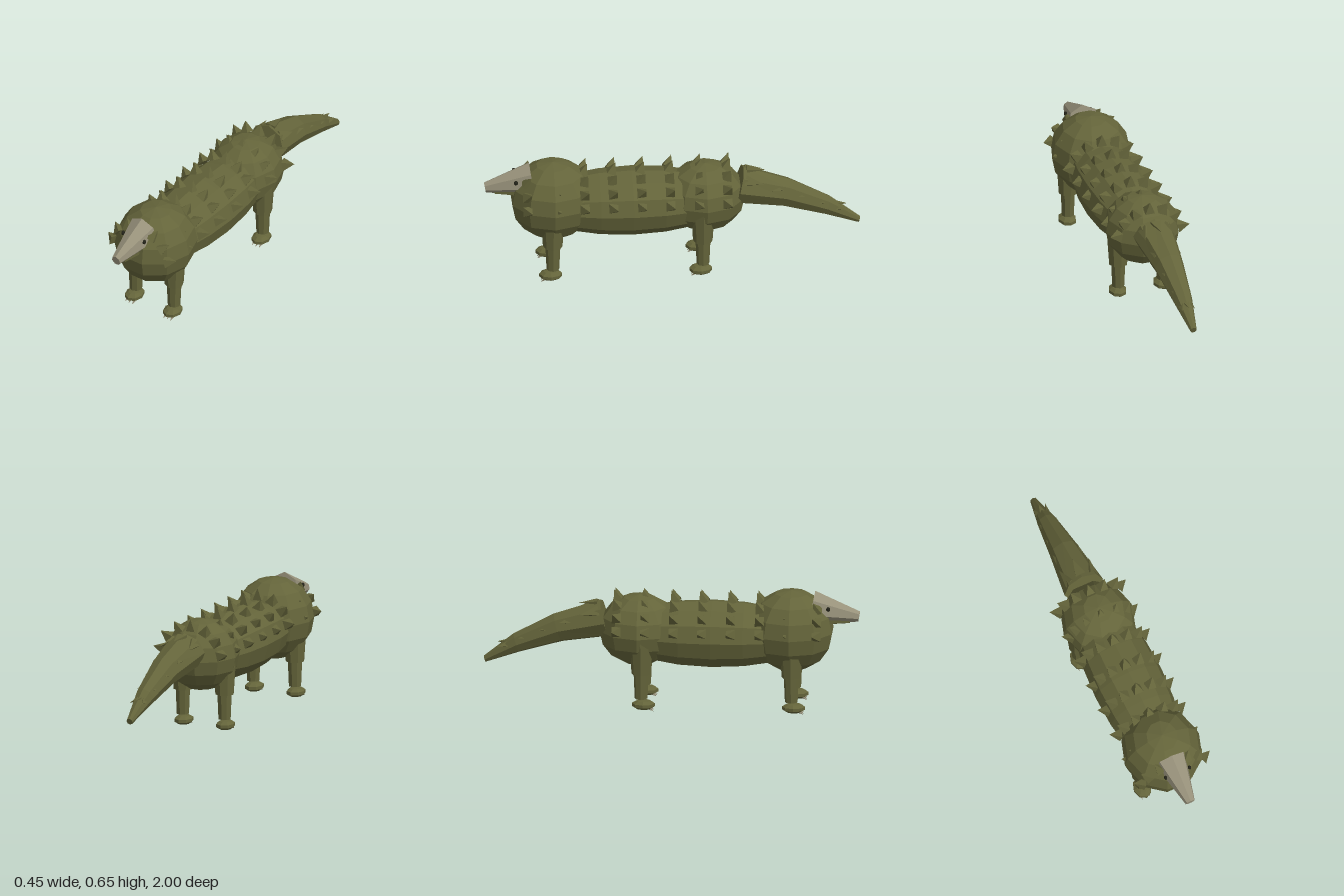
import * as THREE from 'three';

export function createModel() {
  const model = new THREE.Group();
  model.name = 'armouredReptile';
  const mat = (name, color) => {
    const m = new THREE.MeshStandardMaterial({ color, flatShading: true });
    m.name = name;
    return m;
  };
  const olive = mat('olive hide', 0x64643a);
  const bone = mat('pale bone', 0x97917a);
  const dark = mat('dark eye', 0x24241a);

  const add = (name, geo, material, x = 0, y = 0, z = 0, parent = model) => {
    const mesh = new THREE.Mesh(geo, material);
    mesh.name = name;
    mesh.position.set(x, y, z);
    parent.add(mesh);
    return mesh;
  };

  // Closed skin through elliptical rings listed from back to front: [z, y, rx, ry, lean]
  const loft = (rings, sides) => {
    const pos = [], idx = [];
    for (const [z, y, rx, ry, lean = 0] of rings) {
      for (let j = 0; j < sides; j++) {
        const t = (j / sides) * Math.PI * 2;
        pos.push(rx * Math.sin(t), y + ry * Math.cos(t), z + lean * ry * Math.cos(t));
      }
    }
    const last = (rings.length - 1) * sides;
    for (let j = 0; j < sides; j++) {
      const k = (j + 1) % sides;
      for (let r = 0; r < last; r += sides) {
        const a = r + j, b = r + k, c = a + sides, d = b + sides;
        idx.push(a, c, b, b, c, d);
      }
      if (j > 0 && j < sides - 1) idx.push(0, j, k, last, last + k, last + j);
    }
    const geo = new THREE.BufferGeometry();
    geo.setAttribute('position', new THREE.Float32BufferAttribute(pos, 3));
    geo.setIndex(idx);
    geo.computeVertexNormals();
    return geo;
  };

  // Shoulders, belly and hips
  add('shoulders', new THREE.SphereGeometry(1, 10, 8).scale(0.216, 0.221, 0.23), olive, 0, 0.432, 0.63);
  add('hips', new THREE.SphereGeometry(1, 10, 8).scale(0.2, 0.193, 0.215), olive, 0, 0.417, -0.18);
  add('belly', new THREE.SphereGeometry(1, 12, 10).rotateX(Math.PI / 2).scale(0.193, 0.181, 0.56),
    olive, 0, 0.401, 0.21);

  // Head: tapered seven-sided snout, jaw and eyes
  add('snout', loft([[0.74, 0.56, 0.088, 0.092, 0.18], [0.99, 0.514, 0.027, 0.028, 0.18]], 7), bone);
  add('jaw', loft([[0.72, 0.495, 0.075, 0.033], [0.94, 0.494, 0.026, 0.018]], 6), olive);
  for (const s of [-1, 1]) {
    add('eye', new THREE.SphereGeometry(1, 6, 5).scale(0.009, 0.013, 0.012), dark, s * 0.07, 0.572, 0.83);
  }

  // Tail
  add('tail', loft([
    [-1, 0.23, 0.018, 0.017, -0.3],
    [-0.83, 0.325, 0.052, 0.05, -0.35],
    [-0.61, 0.415, 0.08, 0.076, -0.3],
    [-0.36, 0.475, 0.112, 0.1, -0.25],
  ], 8), olive);

  // Rows of four-sided spikes arching over the back
  const spikeGeo = new THREE.ConeGeometry(0.037, 0.062, 4).rotateY(Math.PI / 4).rotateX(-0.35);
  const spikes = new THREE.Group();
  spikes.name = 'backSpikes';
  model.add(spikes);
  for (let row = 0; row < 8; row++) {
    for (let i = -3; i <= 3; i++) {
      if (row === 0 && i === 0) continue;
      const a = i * 0.445;
      const z = 0.763 - row * 0.152;
      const spike = add('backSpike', spikeGeo, olive,
        0.2 * Math.sin(a), 0.412 + 0.193 * Math.cos(a), z, spikes);
      spike.rotation.z = -a;
    }
  }

  // Flattened scales lying along the tail
  const scaleGeo = new THREE.ConeGeometry(0.04, 0.1, 4).rotateY(Math.PI / 4).scale(1, 1, 0.3).rotateX(-1.35);
  const tailScales = new THREE.Group();
  tailScales.name = 'tailScales';
  model.add(tailScales);
  for (let row = 0; row < 5; row++) {
    const t = row / 4;
    const ring = new THREE.Group();
    ring.name = 'tailScaleRow';
    ring.position.set(0, 0.465 - 0.17 * t, -0.42 - 0.47 * t);
    ring.rotation.x = -0.32;
    tailScales.add(ring);
    const r = 0.099 - 0.06 * t;
    for (let i = -1; i <= 1; i++) {
      const a = i * 0.9;
      const scale = add('tailScale', scaleGeo, olive, r * Math.sin(a), r * Math.cos(a), 0, ring);
      scale.rotation.z = -a;
      scale.scale.setScalar(1 - 0.35 * t);
    }
  }

  // Legs, feet and claws
  for (const [name, z] of [['frontLeg', 0.638], ['backLeg', -0.16]]) {
    for (const s of [-1, 1]) {
      const leg = new THREE.Group();
      leg.name = name;
      leg.position.set(s * 0.125, 0, z);
      model.add(leg);
      add('upperLeg', new THREE.CylinderGeometry(0.064, 0.051, 0.19, 8), olive, 0, 0.303, 0, leg);
      add('lowerLeg', new THREE.CylinderGeometry(0.04, 0.034, 0.142, 8), olive, 0, 0.142, 0, leg);
      add('foot', new THREE.SphereGeometry(1, 8, 5).scale(0.05, 0.027, 0.064), olive, 0, 0.036, 0.012, leg);
      for (let i = -1; i <= 1; i++) {
        add('claw', new THREE.ConeGeometry(0.008, 0.026, 5).rotateX(2.2), bone, i * 0.022, 0.014, 0.056, leg);
      }
    }
  }
  return model;
}
